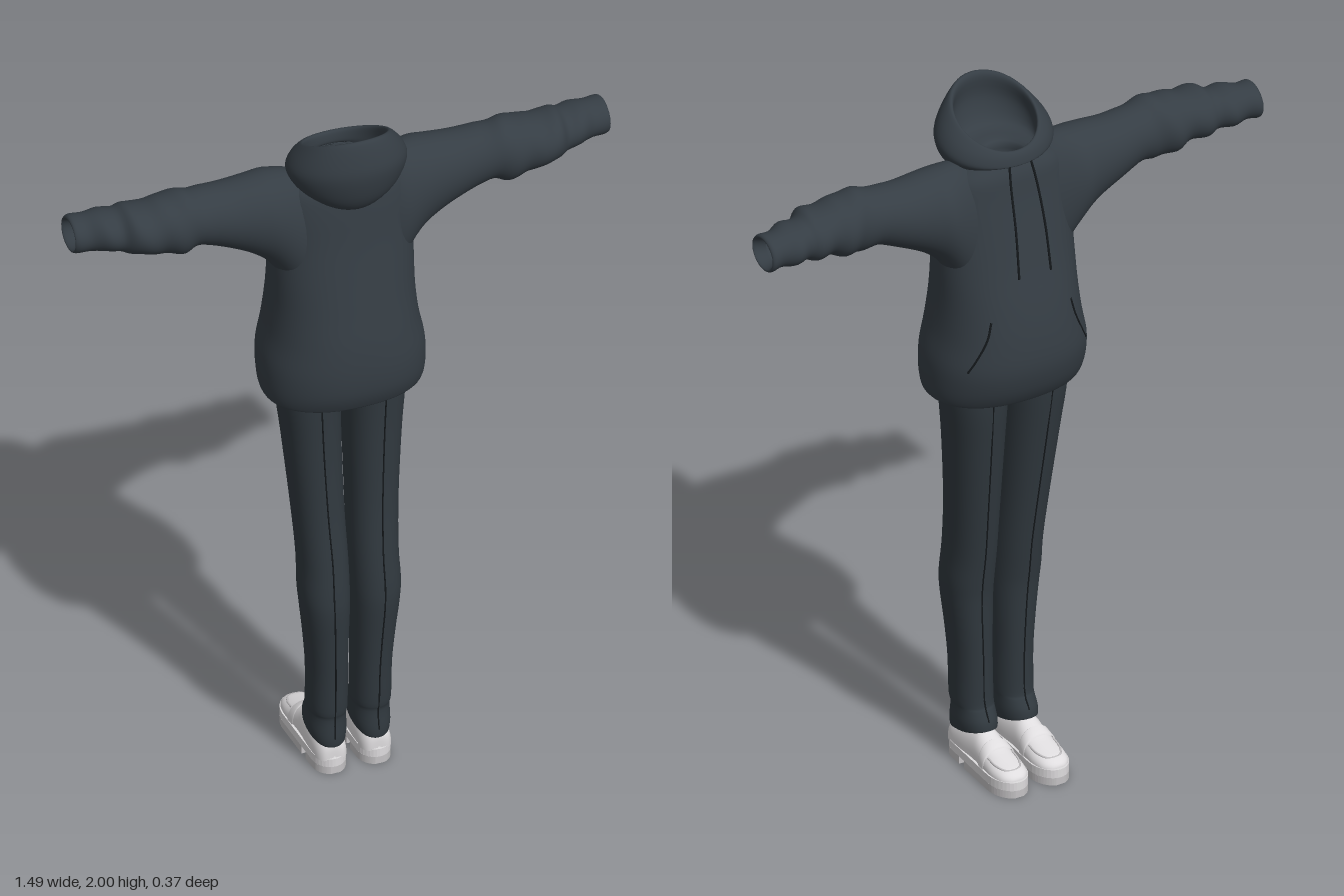
import * as THREE from 'three';

const mat = (name, color) => new THREE.MeshStandardMaterial({ name, color, side: THREE.DoubleSide });

// Smoothly interpolate rows of numbers, n steps between neighbours
function smooth(keys, n = 4) {
  const out = [], at = i => keys[Math.min(Math.max(i, 0), keys.length - 1)];
  for (let i = 0; i < keys.length - 1; i++) {
    for (let k = 0; k < n; k++) {
      const t = k / n;
      out.push(at(i).map((b, j) => {
        const a = at(i - 1)[j], c = at(i + 1)[j], d = at(i + 2)[j];
        return b + 0.5 * t * (c - a + t * (2 * a - 5 * b + 4 * c - d + t * (3 * (b - c) + d - a)));
      }));
    }
  }
  out.push(at(keys.length - 1));
  return out;
}

// Skin a list of closed rings: each row is turned into points by ringPoint(row, angle)
function loft(name, material, rows, ringPoint, flip = false, sides = 40) {
  const pos = [], idx = [];
  rows.forEach((row, r) => {
    for (let i = 0; i < sides; i++) {
      pos.push(...ringPoint(row, (i / sides) * Math.PI * 2));
      if (r === rows.length - 1) continue;
      const a = r * sides + i, b = r * sides + (i + 1) % sides, c = a + sides, d = b + sides;
      if (flip) idx.push(a, c, b, b, c, d);
      else idx.push(a, b, c, b, d, c);
    }
  });
  const g = new THREE.BufferGeometry();
  g.setAttribute('position', new THREE.Float32BufferAttribute(pos, 3));
  g.setIndex(idx);
  g.computeVertexNormals();
  const mesh = new THREE.Mesh(g, material);
  mesh.name = name;
  return mesh;
}

function cord(name, material, pts, radius) {
  const curve = new THREE.CatmullRomCurve3(pts.map(p => new THREE.Vector3(...p)));
  const mesh = new THREE.Mesh(new THREE.TubeGeometry(curve, 32, radius, 6), material);
  mesh.name = name;
  return mesh;
}

const E = 0.88; // slightly squared ellipse
const sp = v => Math.sign(v) * Math.abs(v) ** E;

// Torso rows: y, half width, back z, front z
const TORSO = [
  [1.21, 0.18, 0.13, -0.11], [1.166, 0.208, 0.158, -0.133], [1.172, 0.217, 0.168, -0.145],
  [1.215, 0.222, 0.182, -0.166], [1.28, 0.22, 0.186, -0.18], [1.36, 0.204, 0.18, -0.176],
  [1.45, 0.195, 0.165, -0.16], [1.55, 0.193, 0.148, -0.136], [1.65, 0.19, 0.132, -0.115],
  [1.75, 0.183, 0.12, -0.095], [1.81, 0.16, 0.108, -0.085], [1.845, 0.1, 0.085, -0.07],
];

// Point on the torso's chest side at a given x and y
function chest(x, y) {
  const i = TORSO.findIndex((k, j) => j > 2 && k[0] >= y), a = TORSO[i - 1], b = TORSO[i];
  const t = (y - a[0]) / (b[0] - a[0]);
  const [, w, zb, zf] = a.map((v, j) => v + (b[j] - v) * t);
  const s = (Math.abs(x) / w) ** (1 / E);
  return [x, y, (zb + zf) / 2 - (zb - zf) / 2 * Math.sqrt(1 - s * s) ** E];
}

// Sleeve rows: x, top y, bottom y, back z, front z
const SLEEVE = [
  [0.08, 1.82, 1.4, 0.09, -0.07], [0.14, 1.848, 1.48, 0.105, -0.088], [0.2, 1.853, 1.575, 0.1, -0.1],
  [0.25, 1.85, 1.62, 0.092, -0.09], [0.32, 1.845, 1.658, 0.083, -0.08], [0.4, 1.85, 1.69, 0.08, -0.067],
  [0.45, 1.858, 1.683, 0.092, -0.066], [0.5, 1.852, 1.69, 0.088, -0.075], [0.54, 1.842, 1.705, 0.09, -0.068],
  [0.59, 1.845, 1.71, 0.083, -0.078], [0.62, 1.832, 1.722, 0.06, -0.071], [0.66, 1.836, 1.724, 0.054, -0.082],
  [0.7, 1.828, 1.731, 0.036, -0.075], [0.735, 1.831, 1.727, 0.031, -0.078], [0.742, 1.82, 1.735, 0.025, -0.07],
  [0.71, 1.812, 1.745, 0.015, -0.06],
];

// Hood rows: half width, back z, front z, back y, front y
const HOOD = [
  [0.085, 0.11, -0.065, 1.775, 1.845], [0.11, 0.14, -0.08, 1.775, 1.845], [0.145, 0.17, -0.088, 1.82, 1.845],
  [0.161, 0.187, -0.09, 1.895, 1.85], [0.147, 0.18, -0.085, 1.95, 1.87], [0.118, 0.163, -0.076, 1.998, 1.882],
  [0.108, 0.148, -0.066, 1.985, 1.878], [0.112, 0.15, -0.062, 1.92, 1.855], [0.1, 0.12, -0.068, 1.855, 1.845],
  [0.058, 0.055, -0.078, 1.84, 1.845], [0.048, 0.045, -0.06, 1.8, 1.81], [0.002, 0.001, -0.001, 1.77, 1.77],
];

// Leg rows: y, inner x, outer x, back z, front z, hem slope
const LEG = [
  [0.135, 0.02, 0.1, 0.11, -0.02, 0.02], [0.1, 0.014, 0.108, 0.124, -0.034, 0.022], [0.125, 0.01, 0.112, 0.127, -0.03, 0.02],
  [0.165, 0.011, 0.109, 0.122, -0.014, 0.005], [0.19, 0.009, 0.112, 0.128, -0.006, 0], [0.3, 0.01, 0.113, 0.133, -0.004, 0],
  [0.4, 0.009, 0.121, 0.14, -0.005, 0], [0.5, 0.007, 0.132, 0.148, -0.008, 0], [0.56, 0.006, 0.136, 0.146, -0.015, 0],
  [0.65, 0.006, 0.134, 0.135, -0.028, 0], [0.8, 0.009, 0.142, 0.116, -0.05, 0], [1.0, 0.01, 0.158, 0.106, -0.08, 0],
  [1.15, 0.008, 0.172, 0.106, -0.1, 0], [1.28, 0.002, 0.17, 0.106, -0.1, 0],
];

// Shoe upper rows: z, half width, top y
const UPPER = [
  [0.125, 0.004, 0.05], [0.122, 0.028, 0.085], [0.1, 0.042, 0.1], [0.05, 0.045, 0.115], [-0.01, 0.043, 0.122],
  [-0.04, 0.044, 0.11], [-0.08, 0.048, 0.09], [-0.12, 0.049, 0.078], [-0.155, 0.041, 0.068],
  [-0.174, 0.022, 0.055], [-0.178, 0.003, 0.043],
];

export function createModel() {
  const model = new THREE.Group();
  const cloth = mat('charcoalKnit', 0x353d44), trouser = mat('charcoalTrouser', 0x30383e);
  const seam = mat('darkSeam', 0x15191c), white = mat('shoeWhite', 0xdedcde), soleGrey = mat('soleGrey', 0xc4c2c4);

  // Hoodie body
  model.add(loft('hoodieBody', cloth, smooth(TORSO), ([y, w, zb, zf], a) =>
    [w * sp(Math.sin(a)), y, (zb + zf) / 2 + (zb - zf) / 2 * sp(Math.cos(a))], false, 56));

  // Empty hood: outer shell, rim and hollow inside
  model.add(loft('hood', cloth, smooth(HOOD), ([w, zb, zf, yb, yf], a) => {
    const c = Math.cos(a);
    return [w * Math.sin(a), (yb + yf) / 2 + (yb - yf) / 2 * c, (zb + zf) / 2 + (zb - zf) / 2 * c];
  }, false, 48));

  for (const s of [1, -1]) {
    const side = s > 0 ? 'left' : 'right';

    // Sleeve with soft folds towards the cuff
    model.add(loft(side + 'Sleeve', cloth, smooth(SLEEVE), ([x, yt, yb, zb, zf], a) => {
      const fold = 1 + 0.03 * Math.sin(x * 75 + 2 * a) * THREE.MathUtils.smoothstep(x, 0.34, 0.45);
      return [s * x, (yt + yb) / 2 + (yt - yb) / 2 * Math.cos(a) * fold,
        (zb + zf) / 2 + (zb - zf) / 2 * Math.sin(a) * fold];
    }, s < 0));

    // Drawstring and pocket opening
    model.add(cord(side + 'Drawstring', seam, [[s * 0.03, 1.865, -0.078], [s * 0.038, 1.8, -0.1],
      [s * 0.044, 1.68, -0.135], [s * 0.048, 1.55, -0.158]], 0.0035));
    model.add(cord(side + 'PocketOpening', seam,
      [[0.12, 1.43], [0.133, 1.38], [0.16, 1.32], [0.178, 1.285]].map(([x, y]) => chest(s * x, y)), 0.003));

    // Trouser leg
    model.add(loft(side + 'TrouserLeg', trouser, smooth(LEG), ([y, xi, xo, zb, zf, slope], a) =>
      [s * (xi + xo) / 2 + (xo - xi) / 2 * sp(Math.sin(a)), y - slope * Math.cos(a),
        (zb + zf) / 2 + (zb - zf) / 2 * sp(Math.cos(a))]));

    // Pressed seams down the back and front of the leg
    for (const f of [3, 4]) {
      const pts = LEG.slice(2, 13).map(k => [s * (k[1] + k[2]) / 2, k[0] + (f === 3 ? -1 : 1) * k[5], k[f]]);
      model.add(cord(side + (f === 3 ? 'BackSeam' : 'FrontSeam'), seam, pts, 0.0022));
    }

    // Shoe
    const shoe = new THREE.Group();
    shoe.name = side + 'Shoe';
    shoe.position.x = s * 0.062;
    const upperPoint = ([z, w, top], a) => [w * sp(Math.cos(a)), 0.04 + (top - 0.04) * Math.max(Math.sin(a), 0) ** 0.75, z];
    shoe.add(loft('upper', white, smooth(UPPER), upperPoint, true));
    const strap = [[-0.052, 0.047, 0.108], [-0.055, 0.0485, 0.11], [-0.078, 0.051, 0.098], [-0.081, 0.0495, 0.093]];
    shoe.add(loft('strap', white, strap, upperPoint, true));
    const stitch = [[0.036, -0.085], [0.034, -0.12], [0.02, -0.148], [0, -0.154], [-0.02, -0.148], [-0.034, -0.12], [-0.036, -0.085]];
    shoe.add(cord('toeStitch', soleGrey, stitch.map(([x, z]) => [x, 0.066 + (z + 0.154) * 0.17, z]), 0.003));

    // Sole slabs: full outline clipped to a z range
    const slab = (name, z0, z1, y0, y1, material) => {
      const half = z => (z > 0.075 ? 0.046 * Math.sqrt(Math.max(0, 1 - ((z - 0.075) / 0.056) ** 2))
        : z < -0.11 ? 0.053 * Math.sqrt(Math.max(0, 1 - ((z + 0.11) / 0.075) ** 2))
          : 0.046 + 0.007 * (0.075 - z) / 0.185);
      const pts = [], n = 28;
      for (let i = 0; i <= n; i++) {
        const z = (z0 + z1) / 2 - (z1 - z0) / 2 * Math.cos(Math.PI * i / n);
        pts.push(new THREE.Vector2(half(z), -z));
      }
      const outline = pts.concat(pts.slice().reverse().map(p => new THREE.Vector2(-p.x, p.y)));
      const g = new THREE.ExtrudeGeometry(new THREE.Shape(outline), { depth: y1 - y0, bevelEnabled: false });
      g.rotateX(-Math.PI / 2).translate(0, y0, 0);
      const mesh = new THREE.Mesh(g, material);
      mesh.name = name;
      shoe.add(mesh);
    };
    slab('midsole', -0.185, 0.131, 0.022, 0.046, white);
    slab('heel', 0.04, 0.129, 0, 0.022, soleGrey);
    slab('frontSole', -0.183, 0.015, 0, 0.022, soleGrey);
    model.add(shoe);
  }
  return model;
}
